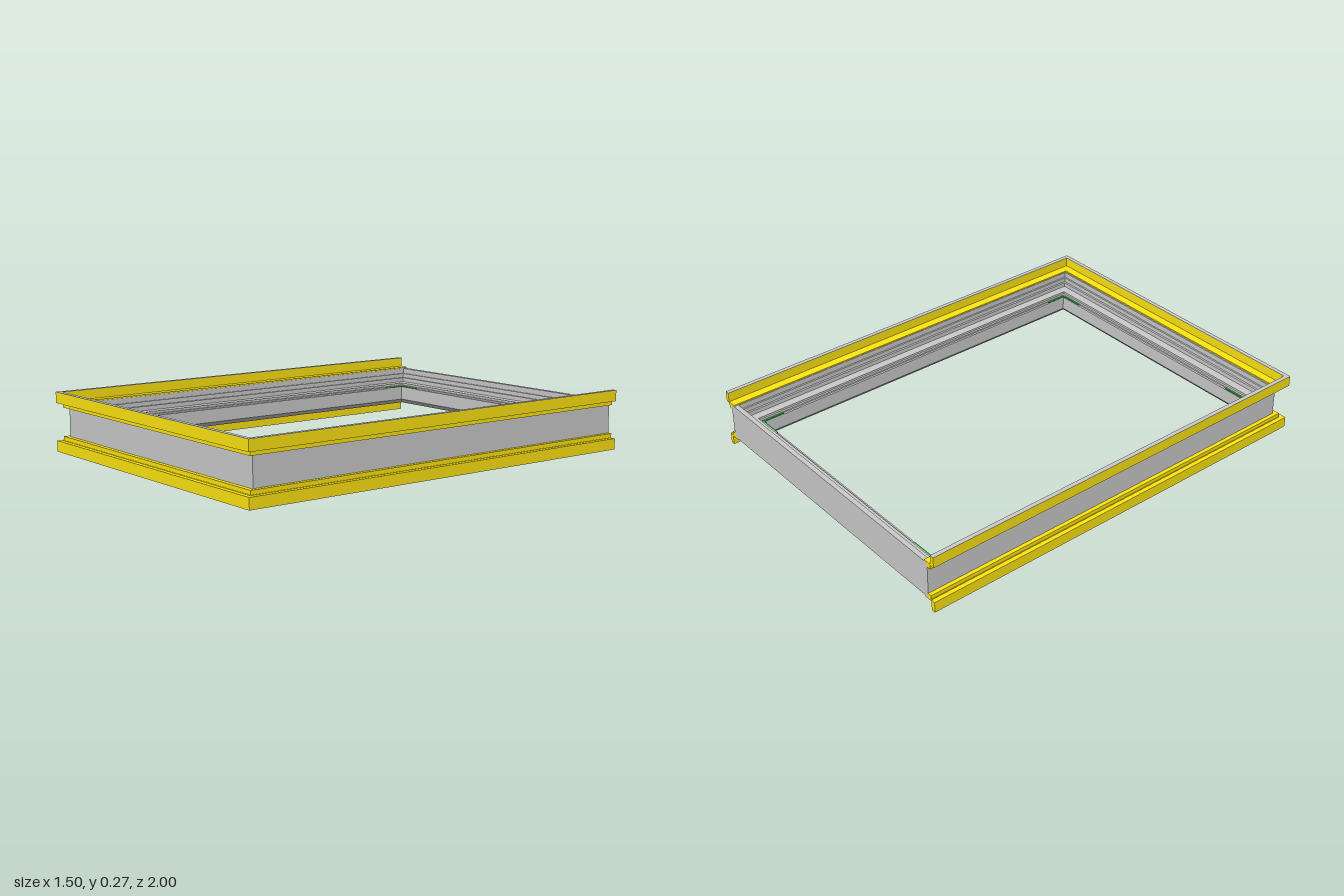
import * as THREE from 'three';

const grey = new THREE.MeshStandardMaterial({ color: 0xcccccc, flatShading: true });
const gold = new THREE.MeshStandardMaterial({ color: 0xffe612 });
const green = new THREE.MeshStandardMaterial({ color: 0x22aa33 });
const MID = 0.135; // height of the mirror plane between upper and lower trim

// Box from its two extreme corners
function box(parent, name, material, x0, x1, y0, y1, z0, z1) {
  const mesh = new THREE.Mesh(new THREE.BoxGeometry(x1 - x0, y1 - y0, z1 - z0), material);
  mesh.position.set((x0 + x1) / 2, (y0 + y1) / 2, (z0 + z1) / 2);
  mesh.name = name;
  parent.add(mesh);
}

// Sweep a closed profile of [inset, height] round the rectangle, with mitred corners
function frameGeometry(profile, halfX, back, front) {
  const corner = (k, [d, y]) => {
    const x = (halfX - d) * (k === 1 || k === 2 ? 1 : -1);
    return [x, y, k < 2 ? front - d : back + d];
  };
  const pos = [];
  for (let k = 0; k < 4; k++) {
    for (let j = 0; j < profile.length; j++) {
      const p = profile[j], q = profile[(j + 1) % profile.length], n = (k + 1) % 4;
      const a = corner(k, p), b = corner(n, p), c = corner(n, q), d = corner(k, q);
      pos.push(...a, ...b, ...c, ...a, ...c, ...d);
    }
  }
  const geometry = new THREE.BufferGeometry();
  geometry.setAttribute('position', new THREE.Float32BufferAttribute(pos, 3));
  geometry.computeVertexNormals();
  return geometry;
}

// Strip running along the front and both sides; inner and outer are half widths
function trimStrip(parent, name, material, inner, outer, y0, y1) {
  box(parent, name + 'Front', material, -outer, outer, y0, y1, inner + 0.25, outer + 0.25);
  box(parent, name + 'Left', material, inner, outer, y0, y1, -1, inner + 0.25);
  box(parent, name + 'Right', material, -outer, -inner, y0, y1, -1, inner + 0.25);
}

// Upper trim, or its mirror image below
function trim(name, upper) {
  const group = new THREE.Group();
  group.name = name;
  const strip = (part, material, inner, outer, y0, y1) =>
    trimStrip(group, part, material, inner, outer,
      upper ? y0 : 2 * MID - y1, upper ? y1 : 2 * MID - y0);
  strip('flange', gold, 0.69, 0.73, 0.218, 0.226);
  strip('lip', gold, 0.73, 0.75, 0.22, 0.268);
  strip('lipEdge', grey, 0.73, 0.75, 0.268, 0.27);
  strip('cleat', gold, 0.708, 0.728, 0.2, 0.219);
  return group;
}

export function createModel() {
  const model = new THREE.Group();
  model.name = 'rectangularFrame';

  // Frame body: thin outer wall, stepped ledges, deeper inner rim
  const profile = [
    [0, 0.05], [0, 0.22], [0.022, 0.22], [0.022, 0.195], [0.03, 0.195], [0.03, 0.175],
    [0.04, 0.175], [0.04, 0.155], [0.08, 0.155], [0.08, 0.145], [0.09, 0.145], [0.09, 0.138],
    [0.1, 0.138], [0.1, 0.075], [0.083, 0.055], [0.075, 0.055], [0.075, 0.065],
    [0.035, 0.065], [0.035, 0.05],
  ];
  const body = new THREE.Mesh(frameGeometry(profile, 0.71, -1, 0.955), grey);
  body.name = 'frameBody';
  model.add(body);

  model.add(trim('upperTrim', true), trim('lowerTrim', false));

  // Thin corner keys on the inner rim
  const keys = new THREE.Group();
  keys.name = 'cornerKeys';
  for (const s of [-1, 1]) {
    const x0 = s > 0 ? 0.61 : -0.617, x1 = x0 + 0.007;
    box(keys, 'backSideKey', green, x0, x1, 0.136, 0.142, -0.91, -0.8);
    box(keys, 'frontSideKey', green, x0, x1, 0.136, 0.142, 0.76, 0.86);
    const e0 = s > 0 ? 0.5 : -0.61;
    box(keys, 'backKey', green, e0, e0 + 0.11, 0.136, 0.142, -0.91, -0.902);
    box(keys, 'frontKey', green, e0, e0 + 0.11, 0.136, 0.142, 0.857, 0.865);
  }
  model.add(keys);
  return model;
}
